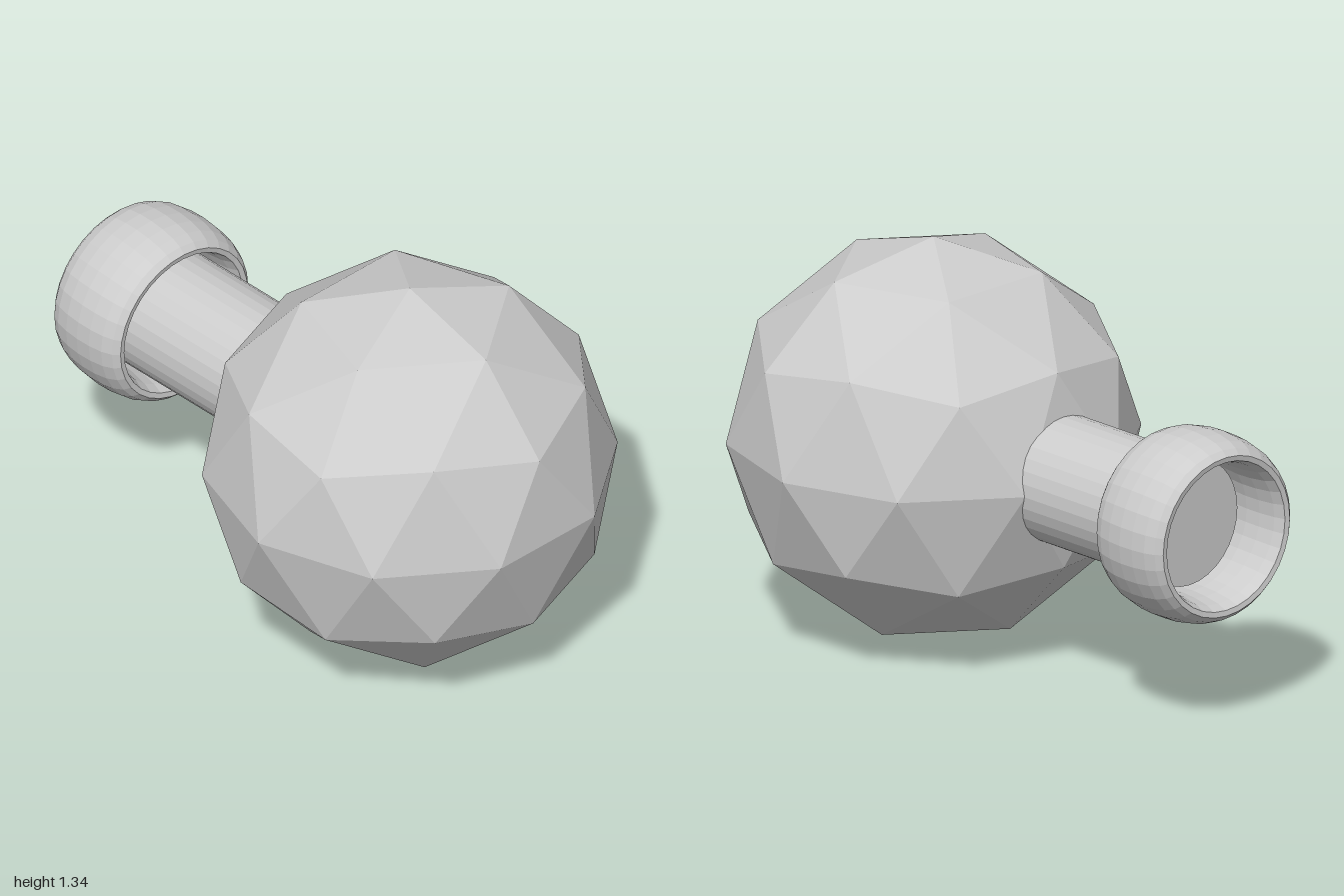
import * as THREE from 'three';

const CENTRE_Y = 0.668;
const SIDES = 32;

// Unshared corners give every facet its own normal
function faceted(geometry) {
  const g = geometry.index ? geometry.toNonIndexed() : geometry;
  g.computeVertexNormals();
  return g;
}

export function createModel() {
  const group = new THREE.Group();
  const grey = new THREE.MeshStandardMaterial({ color: 0xcccccc });
  grey.name = 'light grey';

  const add = (name, geometry, x) => {
    const mesh = new THREE.Mesh(faceted(geometry), grey);
    mesh.name = name;
    mesh.position.set(x, CENTRE_Y, 0);
    group.add(mesh);
    return mesh;
  };

  // Faceted ball, turned so that a corner points straight up
  const ball = new THREE.IcosahedronGeometry(0.668, 1);
  ball.rotateZ(-Math.atan(2 / (1 + Math.sqrt(5))));
  add('ball', ball, 0.364);

  // Stem running from inside the collar into the ball
  const stem = new THREE.CylinderGeometry(0.21, 0.21, 0.75, SIDES);
  stem.rotateZ(-Math.PI / 2);
  add('stem', stem, -0.435);

  // Hollow rounded collar: closed profile of [radius, position along the axis]
  const half = [[0.314, 0], [0.311, 0.055], [0.302, 0.105], [0.287, 0.14], [0.268, 0.16],
    [0.25, 0.157], [0.237, 0.12], [0.228, 0.06], [0.225, 0]];
  const lower = half.slice(1, -1).reverse().map(([r, a]) => [r, -a]);
  const profile = [...half, ...lower, half[0]].map(([r, a]) => new THREE.Vector2(r, a));
  const collarShape = new THREE.LatheGeometry(profile, SIDES);
  collarShape.rotateZ(-Math.PI / 2);
  const collar = add('collar', collarShape, -0.826);
  collar.rotation.y = -0.05; // sits slightly askew on the stem

  return group;
}
